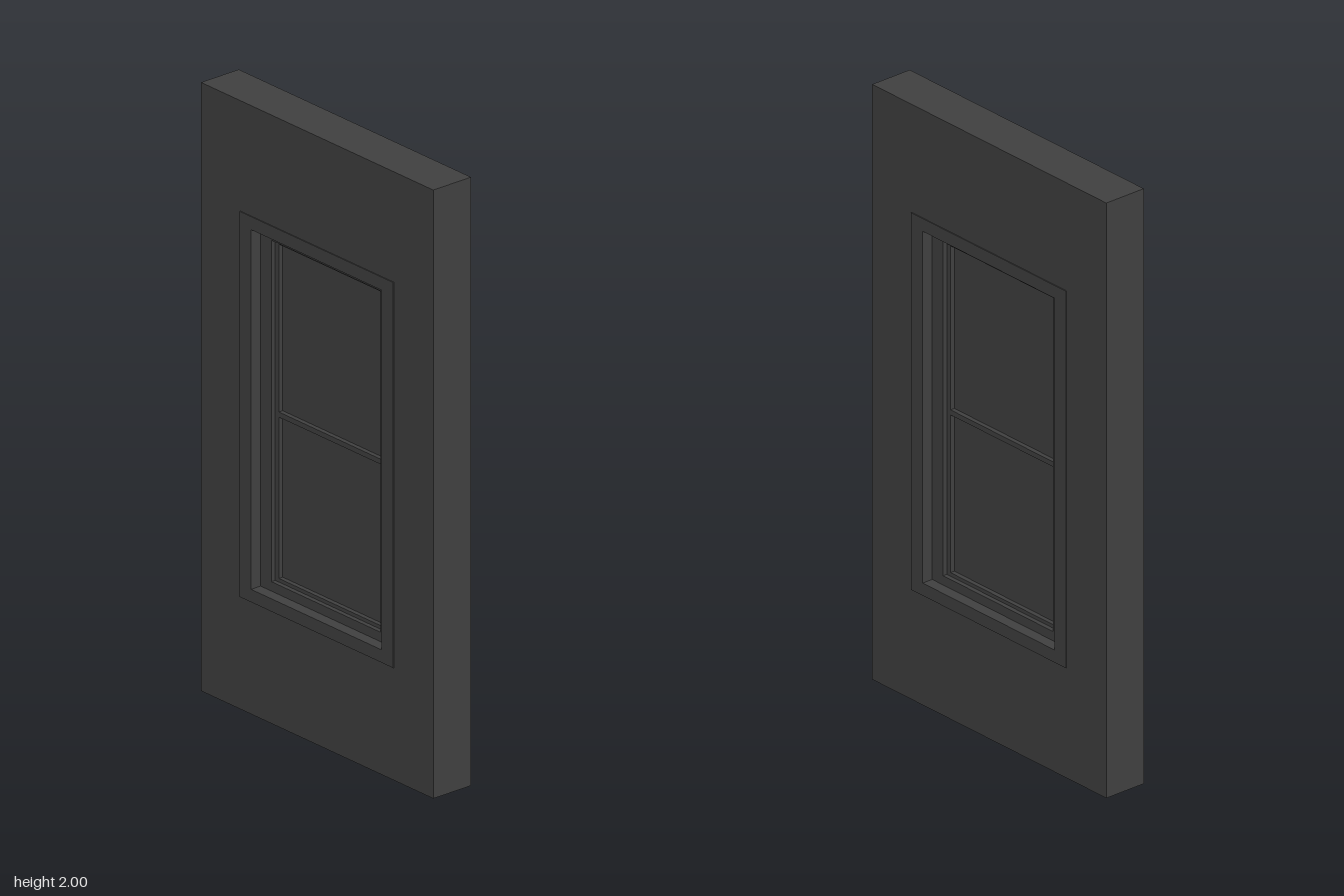
import * as THREE from 'three';

const material = new THREE.MeshStandardMaterial({ color: 0x404040 });

// Trace a rectangle; r = { z: half width, y0: bottom, y1: top }
function trace(path, r) {
  path.moveTo(-r.z, r.y0);
  path.lineTo(r.z, r.y0);
  path.lineTo(r.z, r.y1);
  path.lineTo(-r.z, r.y1);
  path.closePath();
  return path;
}

// Rectangular ring in the YZ plane, centred on x = 0
function ring(name, outer, inner, halfDepth) {
  const shape = trace(new THREE.Shape(), outer);
  shape.holes.push(trace(new THREE.Path(), inner));
  const geometry = new THREE.ExtrudeGeometry(shape, { depth: 2 * halfDepth, bevelEnabled: false });
  geometry.translate(0, 0, -halfDepth);
  geometry.rotateY(Math.PI / 2);
  const mesh = new THREE.Mesh(geometry, material);
  mesh.name = name;
  return mesh;
}

function box(name, w, y0, y1, depth) {
  const mesh = new THREE.Mesh(new THREE.BoxGeometry(w, y1 - y0, depth), material);
  mesh.name = name;
  mesh.position.y = (y0 + y1) / 2;
  return mesh;
}

export function createModel() {
  const group = new THREE.Group();
  group.name = 'wallWithWindow';

  // Nested outlines from the wall edge inward to the glass
  const wall = { z: 0.537, y0: 0, y1: 2 };
  const casing = { z: 0.355, y0: 0.37, y1: 1.637 };
  const opening = { z: 0.302, y0: 0.412, y1: 1.594 };
  const sash = { z: 0.252, y0: 0.443, y1: 1.565 };
  const glass = { z: 0.235, y0: 0.455, y1: 1.553 };

  group.add(ring('wall', wall, casing, 0.075));
  group.add(ring('casing', casing, opening, 0.078));
  group.add(ring('windowFrame', opening, sash, 0.04));
  group.add(ring('sash', sash, glass, 0.025));

  // Meeting rail and the two panes, closed on both sides
  const railBottom = 0.985, railTop = 1.002;
  group.add(box('meetingRail', 0.05, railBottom, railTop, 2 * glass.z));
  group.add(box('lowerPane', 0.02, glass.y0, railBottom, 2 * glass.z));
  group.add(box('upperPane', 0.02, railTop, glass.y1, 2 * glass.z));

  return group;
}
